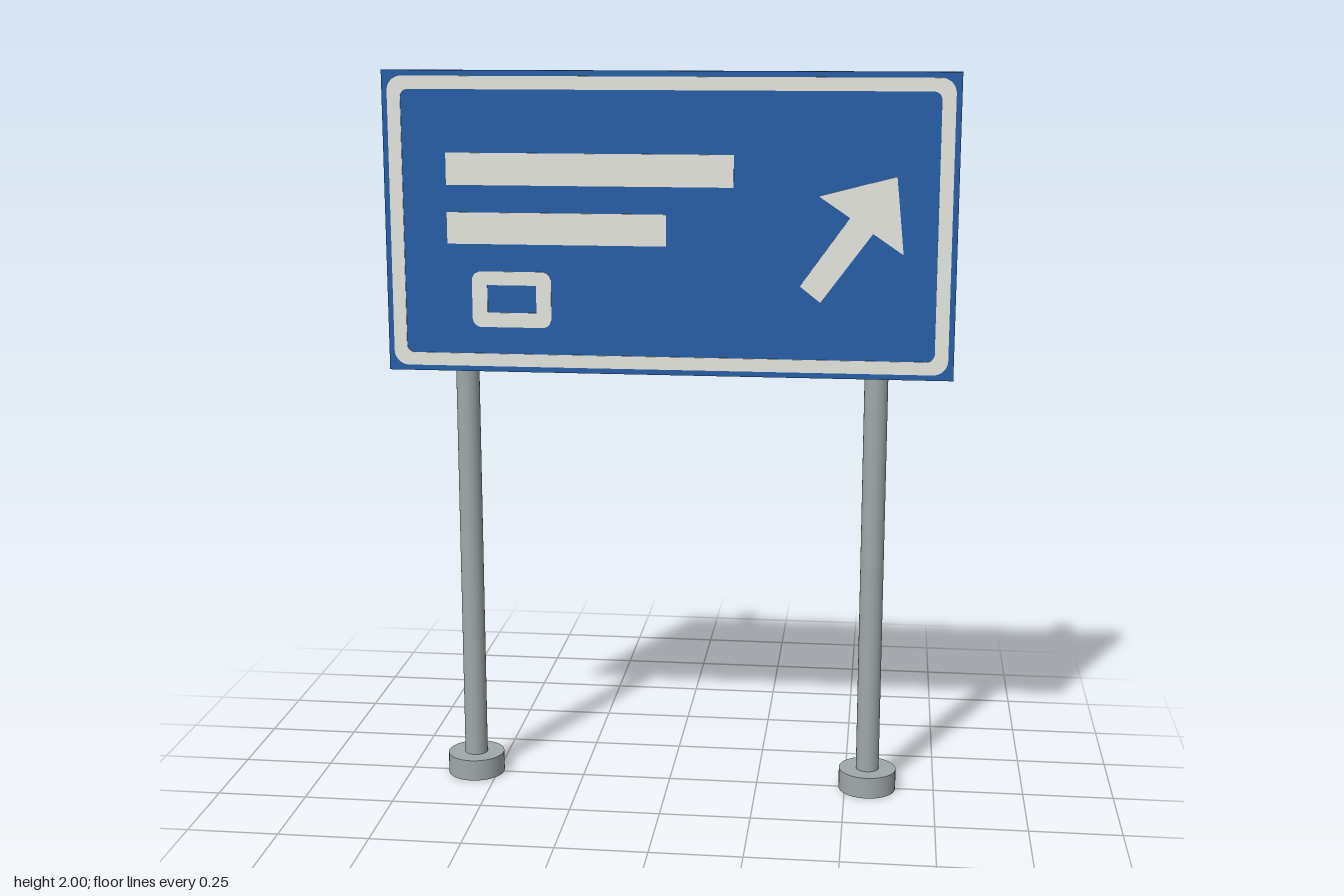
import * as THREE from 'three';

export function createModel() {
  const model = new THREE.Group();
  const steel = new THREE.MeshStandardMaterial({ color: 0xa0a8a8 });
  const blue = new THREE.MeshStandardMaterial({ color: 0x285fa8 });
  const white = new THREE.MeshStandardMaterial({ color: 0xf0f0ea });
  steel.name = 'galvanised steel';
  blue.name = 'sign blue';
  white.name = 'marking white';

  const FACE = 0.061; // front of the blue sheet

  function add(name, geometry, material, x, y, z, parent = model) {
    const mesh = new THREE.Mesh(geometry, material);
    mesh.name = name;
    mesh.position.set(x, y, z);
    parent.add(mesh);
    return mesh;
  }

  // Closed rectangle outline with optional rounded corners
  function rect(Type, x0, y0, x1, y1, r = 0) {
    const p = new Type();
    if (!r) {
      return p.moveTo(x0, y0).lineTo(x1, y0).lineTo(x1, y1).lineTo(x0, y1).closePath();
    }
    p.absarc(x1 - r, y0 + r, r, -Math.PI / 2, 0);
    p.absarc(x1 - r, y1 - r, r, 0, Math.PI / 2);
    p.absarc(x0 + r, y1 - r, r, Math.PI / 2, Math.PI);
    p.absarc(x0 + r, y0 + r, r, Math.PI, Math.PI * 1.5);
    return p.closePath();
  }

  // Thin white plate lying on the sign face
  function marking(name, shape) {
    const geometry = new THREE.ExtrudeGeometry(shape, { depth: 0.003, bevelEnabled: false, curveSegments: 8 });
    return add(name, geometry, white, 0, 0, FACE);
  }

  // Posts with caps and round footings
  for (const [side, x] of [['left', 0.563], ['right', -0.563]]) {
    const post = new THREE.Group();
    post.name = side + 'Post';
    post.position.x = x;
    model.add(post);
    add('footing', new THREE.CylinderGeometry(0.08, 0.08, 0.06, 32), steel, 0, 0.03, 0, post);
    add('pole', new THREE.CylinderGeometry(0.032, 0.032, 1.92, 32), steel, 0, 1.02, 0, post);
    add('cap', new THREE.CylinderGeometry(0.037, 0.037, 0.014, 32), steel, 0, 1.983, 0, post);
  }

  // Horizontal mounting rails
  for (const [name, y] of [['upperRail', 1.851], ['lowerRail', 1.339]]) {
    add(name, new THREE.BoxGeometry(1.434, 0.037, 0.027), steel, 0, y, 0.0305);
  }

  // Steel backing and blue front sheet
  add('backingPanel', new THREE.BoxGeometry(1.534, 0.81, 0.008), steel, 0, 1.595, 0.048);
  add('signFace', new THREE.BoxGeometry(1.534, 0.81, 0.009), blue, 0, 1.595, FACE - 0.0045);

  // Border with rounded corners
  const border = rect(THREE.Shape, -0.752, 1.205, 0.752, 1.985, 0.04);
  border.holes.push(rect(THREE.Path, -0.716, 1.24, 0.716, 1.95, 0.022));
  marking('border', border);

  // Blank legend bars
  marking('upperBar', rect(THREE.Shape, -0.597, 1.697, 0.177, 1.783));
  marking('lowerBar', rect(THREE.Shape, -0.597, 1.539, -0.003, 1.624));

  // Small framed symbol
  const symbol = rect(THREE.Shape, -0.532, 1.313, -0.315, 1.465, 0.025);
  symbol.holes.push(rect(THREE.Path, -0.49, 1.353, -0.356, 1.428));
  marking('symbolFrame', symbol);

  // Direction arrow
  const arrow = [
    [0.606, 1.73], [0.402, 1.677], [0.485, 1.621], [0.355, 1.438],
    [0.41, 1.395], [0.546, 1.58], [0.627, 1.525],
  ];
  marking('arrow', new THREE.Shape(arrow.map(([x, y]) => new THREE.Vector2(x, y))));

  return model;
}
